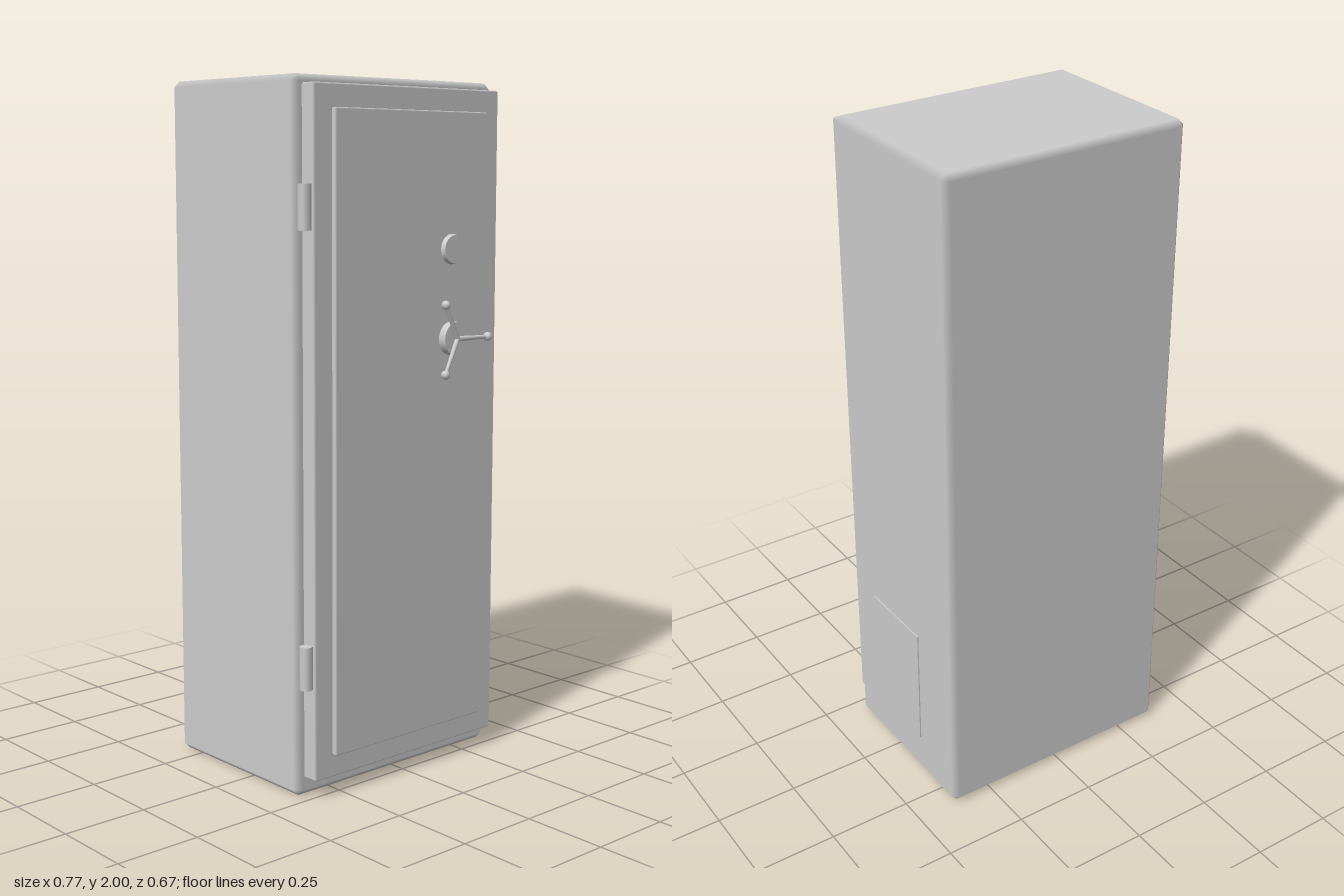
import * as THREE from 'three';
import { ConvexGeometry } from 'three/addons/geometries/ConvexGeometry.js';

// Box with chamfered edges: flat faces, shading blended across the chamfers.
function chamferBox(w, h, d, c) {
  const half = [w / 2, h / 2, d / 2];
  const points = [];
  for (const sx of [-1, 1]) for (const sy of [-1, 1]) for (const sz of [-1, 1]) {
    const s = [sx, sy, sz];
    for (let axis = 0; axis < 3; axis++) {
      const p = half.map((v, i) => s[i] * (i === axis ? v : v - c));
      points.push(new THREE.Vector3(...p));
    }
  }
  const geo = new ConvexGeometry(points);
  const pos = geo.attributes.position;
  const normal = geo.attributes.normal;
  // every corner point lies on exactly one main face; take that face's normal
  for (let i = 0; i < pos.count; i++) {
    const p = [pos.getX(i), pos.getY(i), pos.getZ(i)];
    normal.setXYZ(i, ...p.map((v, k) => (Math.abs(v) > half[k] - c / 2 ? Math.sign(v) : 0)));
  }
  return geo;
}

export function createModel() {
  const model = new THREE.Group();
  model.name = 'safe';
  const steel = new THREE.MeshStandardMaterial({ color: 0xcccccc });
  steel.name = 'grey steel';

  function add(name, geo, x, y, z, parent = model) {
    const mesh = new THREE.Mesh(geo, steel);
    mesh.name = name;
    mesh.position.set(x, y, z);
    parent.add(mesh);
    return mesh;
  }

  // Cabinet, door slab and raised door panel
  add('cabinet', chamferBox(0.758, 2, 0.555, 0.018), 0, 1, -0.0575);
  add('door', chamferBox(0.706, 1.922, 0.06, 0.005), 0, 1.015, 0.239);
  add('doorPanel', chamferBox(0.58, 1.793, 0.026, 0.004), 0, 1.0155, 0.272);

  // Cover plate low on the left side
  add('sidePlate', new THREE.BoxGeometry(0.008, 0.38, 0.252), 0.379, 0.32, -0.021);

  // Octagonal hinge barrels
  for (const y of [0.383, 1.65]) {
    const hinge = new THREE.CylinderGeometry(0.019, 0.019, 0.124, 8);
    add('hinge', hinge, -0.367, y, 0.245);
  }

  // Lock dial
  const dial = add('lockDial', new THREE.CylinderGeometry(0.04, 0.044, 0.014, 24), 0.15, 1.525, 0.291);
  dial.rotation.x = Math.PI / 2;

  // Three-spoke handle on a round hub
  const handle = new THREE.Group();
  handle.name = 'handle';
  handle.position.set(0.15, 1.27, 0.285);
  model.add(handle);
  const hub = add('handleHub', new THREE.CylinderGeometry(0.049, 0.049, 0.026, 24), 0, 0, 0.012, handle);
  hub.rotation.x = Math.PI / 2;
  const up = new THREE.Vector3(0, 1, 0);
  for (let i = 0; i < 3; i++) {
    const a = (i * Math.PI * 2) / 3;
    const start = new THREE.Vector3(0, 0, 0.027);
    const end = new THREE.Vector3(Math.cos(a) * 0.115, Math.sin(a) * 0.115, 0.036);
    const dir = end.clone().sub(start);
    const mid = start.clone().add(end).multiplyScalar(0.5);
    const spoke = add('handleSpoke', new THREE.CylinderGeometry(0.005, 0.008, dir.length(), 8), mid.x, mid.y, mid.z, handle);
    spoke.quaternion.setFromUnitVectors(up, dir.normalize());
    add('handleKnob', new THREE.SphereGeometry(0.0135, 8, 6), end.x, end.y, end.z, handle);
  }

  return model;
}
